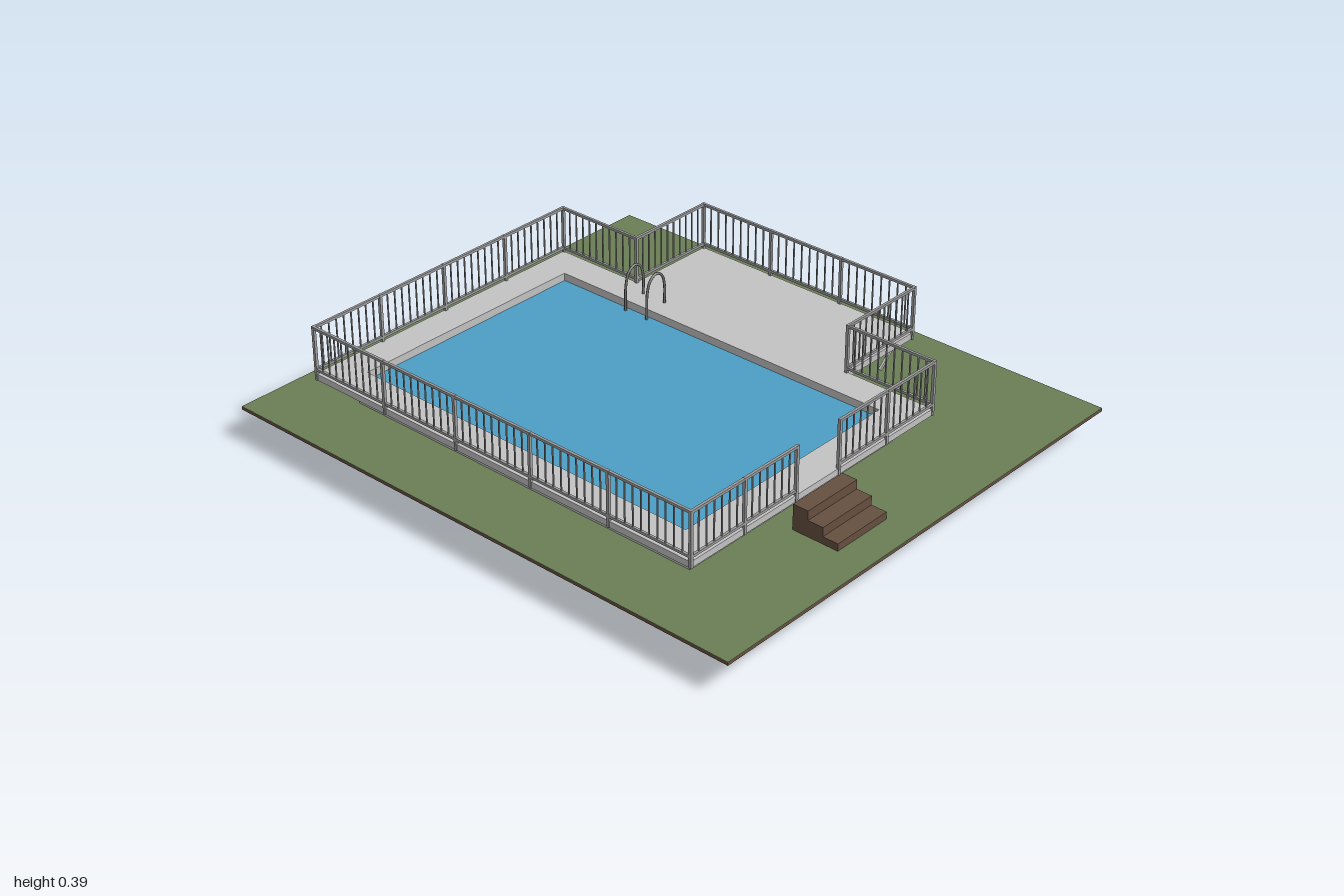
import * as THREE from 'three';

const mat = (name, color, side = THREE.FrontSide) => {
  const m = new THREE.MeshStandardMaterial({ color, side });
  m.name = name;
  return m;
};

export function createModel() {
  const grass = mat('grass green', 0x6a7e55);
  const brown = mat('wood and soil brown', 0x665040);
  const pale = mat('deck grey', 0xc3c3c3);
  const railGrey = mat('fence grey', 0x9c9c9c);
  const steel = mat('ladder steel', 0x747474);
  const blue = mat('water blue', 0x4d9fc5, THREE.DoubleSide);
  const deepBlue = mat('pool floor blue', 0x2d6da8, THREE.DoubleSide);

  const root = new THREE.Group();
  const group = (name) => {
    const g = new THREE.Group();
    g.name = name;
    root.add(g);
    return g;
  };
  const add = (parent, name, geo, material, x = 0, y = 0, z = 0) => {
    const m = new THREE.Mesh(geo, material);
    m.name = name;
    m.position.set(x, y, z);
    parent.add(m);
    return m;
  };
  const rect = (x0, x1, z0, z1) => [[x0, z0], [x1, z0], [x1, z1], [x0, z1]];
  const toPoints = (list) => list.map(([x, z]) => new THREE.Vector2(x, z));

  // Horizontal slab with a hole, from y0 up to y1
  const slab = (name, outline, hole, y0, y1, material) => {
    const shape = new THREE.Shape(toPoints(outline));
    shape.holes.push(new THREE.Path(toPoints(hole)));
    const geo = new THREE.ExtrudeGeometry(shape, { depth: y1 - y0, bevelEnabled: false });
    geo.rotateX(Math.PI / 2);
    return add(root, name, geo, material, 0, y1, 0);
  };
  // Square bar between two points
  const bar = (parent, name, a, b, w, material) => {
    const p = new THREE.Vector3(...a), q = new THREE.Vector3(...b);
    const m = add(parent, name, new THREE.BoxGeometry(w, w, p.distanceTo(q)), material);
    m.position.copy(p).lerp(q, 0.5);
    m.lookAt(q);
    return m;
  };

  const G = 0.112, DECK0 = 0.2, DECK = 0.222;
  const pool = rect(-0.61, 0.27, -0.72, 0.6);

  // Ground
  slab('soil', rect(-0.89, 0.89, -1, 1), pool, 0.1, G - 0.002, brown);
  slab('lawn', rect(-0.89, 0.89, -1, 1), pool, G - 0.002, G, grass);

  // Pool
  slab('poolWall', rect(-0.632, 0.298, -0.742, 0.635), pool, G, DECK0, pale);
  for (const [name, y, material] of [['water', 0.195, blue], ['poolFloor', 0, deepBlue]]) {
    add(root, name, new THREE.PlaneGeometry(0.88, 1.32).rotateX(-Math.PI / 2), material, -0.17, y, -0.06);
  }

  // Deck with its side terrace
  const deckOutline = [[-0.722, -0.833], [0.383, -0.833], [0.383, -0.5], [0.718, -0.5],
    [0.718, 0.385], [0.383, 0.385], [0.383, 0.718], [-0.722, 0.718]];
  slab('deck', deckOutline, pool, DECK0, DECK, pale);

  // Fence runs: start, end and number of bays
  const fence = group('fence');
  const TOP = 0.39, LOW = 0.238;
  const runs = [
    [[-0.72, -0.83], [0.382, -0.83], 4],
    [[-0.72, -0.83], [-0.72, 0.716], 5],
    [[-0.72, 0.716], [-0.265, 0.716], 2],
    [[-0.07, 0.716], [0.382, 0.716], 2],
    [[0.382, 0.716], [0.382, 0.385], 1],
    [[0.382, 0.385], [0.716, 0.385], 1],
    [[0.716, 0.385], [0.716, -0.498], 3],
    [[0.716, -0.498], [0.382, -0.498], 1],
    [[0.382, -0.498], [0.382, -0.83], 1],
  ];
  for (const [a, b, bays] of runs) {
    const at = (t) => [a[0] + (b[0] - a[0]) * t, a[1] + (b[1] - a[1]) * t];
    const length = Math.hypot(b[0] - a[0], b[1] - a[1]);
    for (const y of [TOP - 0.005, LOW]) {
      bar(fence, 'rail', [a[0], y, a[1]], [b[0], y, b[1]], 0.009, railGrey);
    }
    const perBay = Math.round(length / bays / 0.031);
    for (let i = 0; i <= bays * perBay; i++) {
      const [x, z] = at(i / (bays * perBay));
      if (i % perBay === 0) {
        add(fence, 'post', new THREE.BoxGeometry(0.01, TOP - DECK0, 0.01), railGrey, x, (TOP + DECK0) / 2, z);
      } else {
        add(fence, 'picket', new THREE.BoxGeometry(0.004, TOP - LOW, 0.004), railGrey, x, (TOP + LOW) / 2 - 0.002, z);
      }
    }
  }

  // Braces under the deck overhang and the terrace
  const braces = group('braces');
  const yLow = 0.165, yHigh = 0.2, w = 0.009;
  for (let i = 0; i < 6; i++) {
    const z = 0.602 - i * 0.262;
    bar(braces, 'leftBrace', [0.298, yLow, z], [0.338, yHigh, z], w, pale);
    bar(braces, 'rightBrace', [-0.632, yLow, z], [-0.677, yHigh, z], w, pale);
    if (i > 0 && i < 5) {
      bar(braces, 'innerTerraceStrut', [0.41, G, z], [0.328, yHigh, z], w, pale);
      bar(braces, 'outerTerraceStrut', [0.615, G, z], [0.705, yHigh, z], w, pale);
    }
  }
  for (let i = 0; i < 5; i++) {
    const x = -0.6 + i * 0.215;
    bar(braces, 'frontBrace', [x, yLow, 0.635], [x, yHigh, 0.68], w, pale);
    bar(braces, 'backBrace', [x, yLow, -0.742], [x, yHigh, -0.787], w, pale);
  }

  // Wooden steps
  const steps = group('steps');
  [0.137, 0.168, 0.2].forEach((top, i) => {
    add(steps, 'step', new THREE.BoxGeometry(0.225, top - G, 0.056), brown,
      -0.168, (top + G) / 2, 0.859 - i * 0.056);
  });

  // Pool ladder
  const ladder = group('ladder');
  const path = [[0.34, 0.222], [0.34, 0.29], [0.328, 0.328], [0.3, 0.344], [0.272, 0.328],
    [0.258, 0.29], [0.254, 0.2], [0.253, 0.1], [0.254, 0.05], [0.259, 0.03], [0.27, 0.022]];
  for (const z of [-0.43, -0.337]) {
    const curve = new THREE.CatmullRomCurve3(path.map(([x, y]) => new THREE.Vector3(x, y, z)));
    add(ladder, 'handrail', new THREE.TubeGeometry(curve, 48, 0.0045, 8), steel);
  }
  for (const y of [0.08, 0.135]) {
    add(ladder, 'rung', new THREE.BoxGeometry(0.018, 0.006, 0.093), steel, 0.254, y, -0.3835);
  }

  return root;
}
